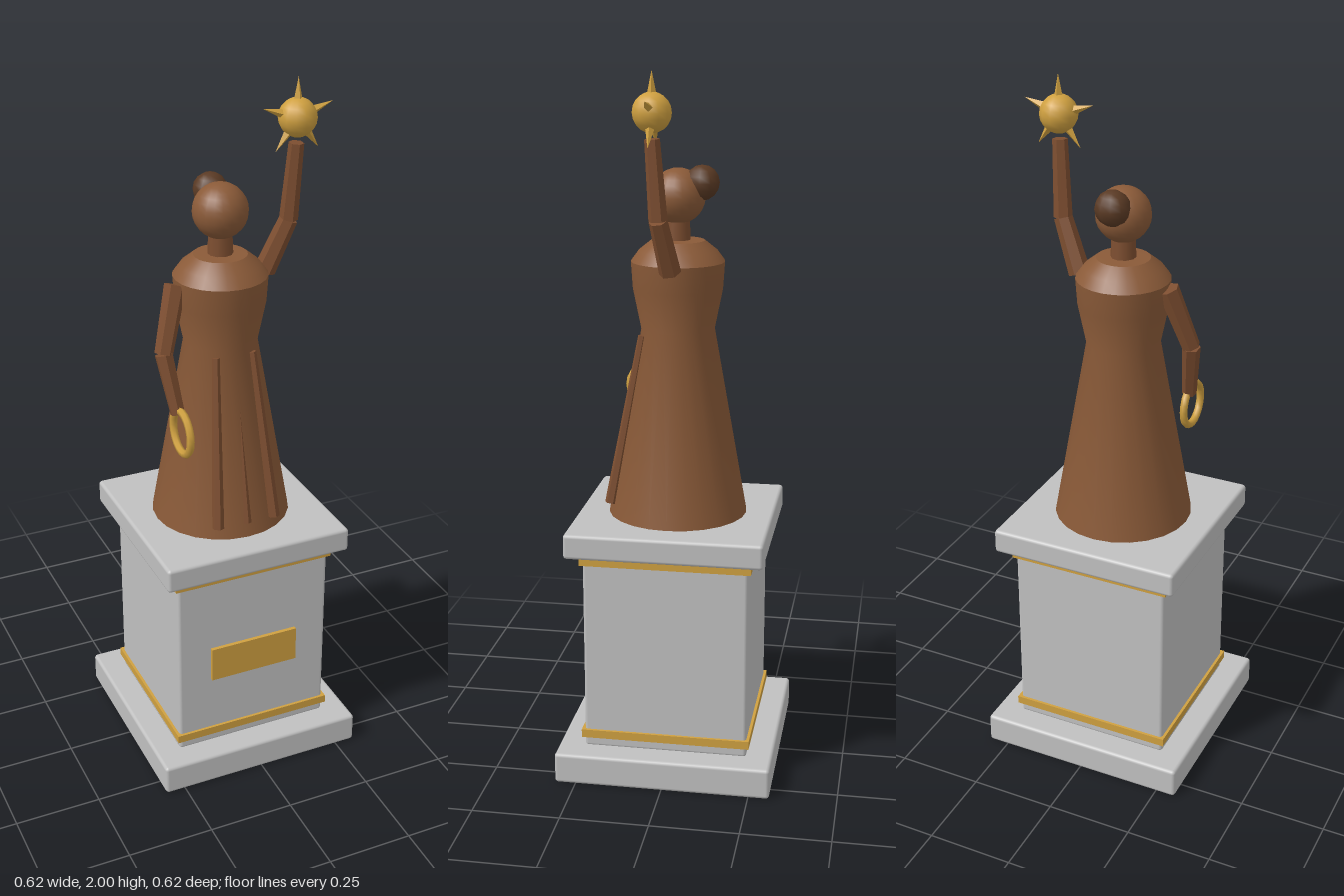
import * as THREE from 'three';
import { toCreasedNormals } from 'three/addons/utils/BufferGeometryUtils.js';
import { RoundedBoxGeometry } from 'three/addons/geometries/RoundedBoxGeometry.js';

const paint = (name, color) => {
  const m = new THREE.MeshStandardMaterial({ color });
  m.name = name;
  return m;
};
const V = (x, y, z) => new THREE.Vector3(x, y, z);

export function createModel() {
  const stone = paint('stone grey', 0xc0c0c0);
  const gold = paint('gold', 0xcfa040);
  const bronze = paint('bronze', 0x8a5a38);
  const limbBronze = paint('limb bronze', 0x7d4e30);
  const darkBronze = paint('dark bronze', 0x5a3a24);

  const model = new THREE.Group();
  model.name = 'statue';

  function add(name, geometry, material, position, parent = model) {
    const mesh = new THREE.Mesh(geometry, material);
    mesh.name = name;
    if (position) mesh.position.copy(position);
    parent.add(mesh);
    return mesh;
  }

  // Tapered faceted rod running from a to b
  function rod(name, a, b, ra, rb, sides, material, parent = model) {
    const g = toCreasedNormals(new THREE.CylinderGeometry(rb, ra, a.distanceTo(b), sides), 0.3);
    const mesh = add(name, g, material, a.clone().add(b).multiplyScalar(0.5), parent);
    mesh.quaternion.setFromUnitVectors(V(0, 1, 0), b.clone().sub(a).normalize());
    return mesh;
  }

  // Pedestal: square slabs given by width, bottom and top
  const pedestal = new THREE.Group();
  pedestal.name = 'pedestal';
  model.add(pedestal);
  const slab = (name, w, y0, y1, r) =>
    add(name, new RoundedBoxGeometry(w, y1 - y0, w, 2, r), stone, V(0, (y0 + y1) / 2, 0), pedestal);
  slab('pedestalBase', 0.62, 0, 0.09, 0.01);
  slab('pedestalShaft', 0.47, 0.085, 0.68, 0.01);
  slab('pedestalCap', 0.56, 0.675, 0.747, 0.01);
  for (const [name, y, h] of [['lowerBand', 0.128, 0.024], ['upperBand', 0.655, 0.02]])
    add(name, new THREE.BoxGeometry(0.486, h, 0.486), gold, V(0, y, 0), pedestal);
  add('plaque', new THREE.BoxGeometry(0.27, 0.107, 0.012), gold, V(0, 0.368, 0.24), pedestal);

  // Dress: skirt, waist, chest and sloping shoulders
  const profile = [
    [0, 0.745], [0.2, 0.745], [0.104, 1.285], [0.127, 1.4], [0.132, 1.475],
    [0.11, 1.505], [0.075, 1.533], [0, 1.536],
  ].map(([r, y]) => new THREE.Vector2(r, y));
  add('dress', toCreasedNormals(new THREE.LatheGeometry(profile, 24), 0.6), bronze);

  // Folds down the front of the skirt
  for (const s of [-1, 0, 1])
    rod('skirtFold', V(s * 0.087, 0.785, 0.181), V(s * 0.055, 1.27, 0.093), 0.017, 0.011, 6, limbBronze);

  // Head, neck and hair bun
  add('neck', new THREE.CylinderGeometry(0.032, 0.036, 0.09, 10), limbBronze, V(0, 1.568, 0));
  add('head', new THREE.SphereGeometry(0.077, 20, 14), bronze, V(0, 1.655, 0));
  add('hairBun', new THREE.SphereGeometry(0.049, 10, 8), darkBronze, V(0, 1.692, -0.067));

  // Raised left arm and lowered right arm
  function arm(name, shoulder, elbow, hand) {
    const group = new THREE.Group();
    group.name = name;
    model.add(group);
    rod('upperArm', shoulder, elbow, 0.031, 0.026, 6, limbBronze, group);
    rod('forearm', elbow, hand, 0.026, 0.021, 6, limbBronze, group);
  }
  arm('leftArm', V(0.133, 1.463, 0), V(0.193, 1.61, 0.022), V(0.205, 1.825, 0.035));
  arm('rightArm', V(-0.133, 1.463, 0), V(-0.187, 1.285, 0.042), V(-0.166, 1.12, 0.085));

  // Ring hanging from the right hand
  const ring = add('ring', new THREE.TorusGeometry(0.062, 0.011, 6, 20), gold, V(-0.165, 1.073, 0.111));
  ring.rotation.y = Math.PI / 2;

  // Five-pointed star held aloft
  const star = new THREE.Group();
  star.name = 'star';
  star.position.set(0.207, 1.893, 0.035);
  model.add(star);
  add('starBall', new THREE.SphereGeometry(0.053, 12, 10), gold, null, star);
  for (let i = 0; i < 5; i++) {
    const a = Math.PI / 2 + (i * Math.PI * 2) / 5;
    const d = V(Math.cos(a), Math.sin(a), 0);
    rod('starSpike', d.clone().multiplyScalar(0.04), d.clone().multiplyScalar(0.108), 0.014, 0, 4, gold, star);
  }
  return model;
}
